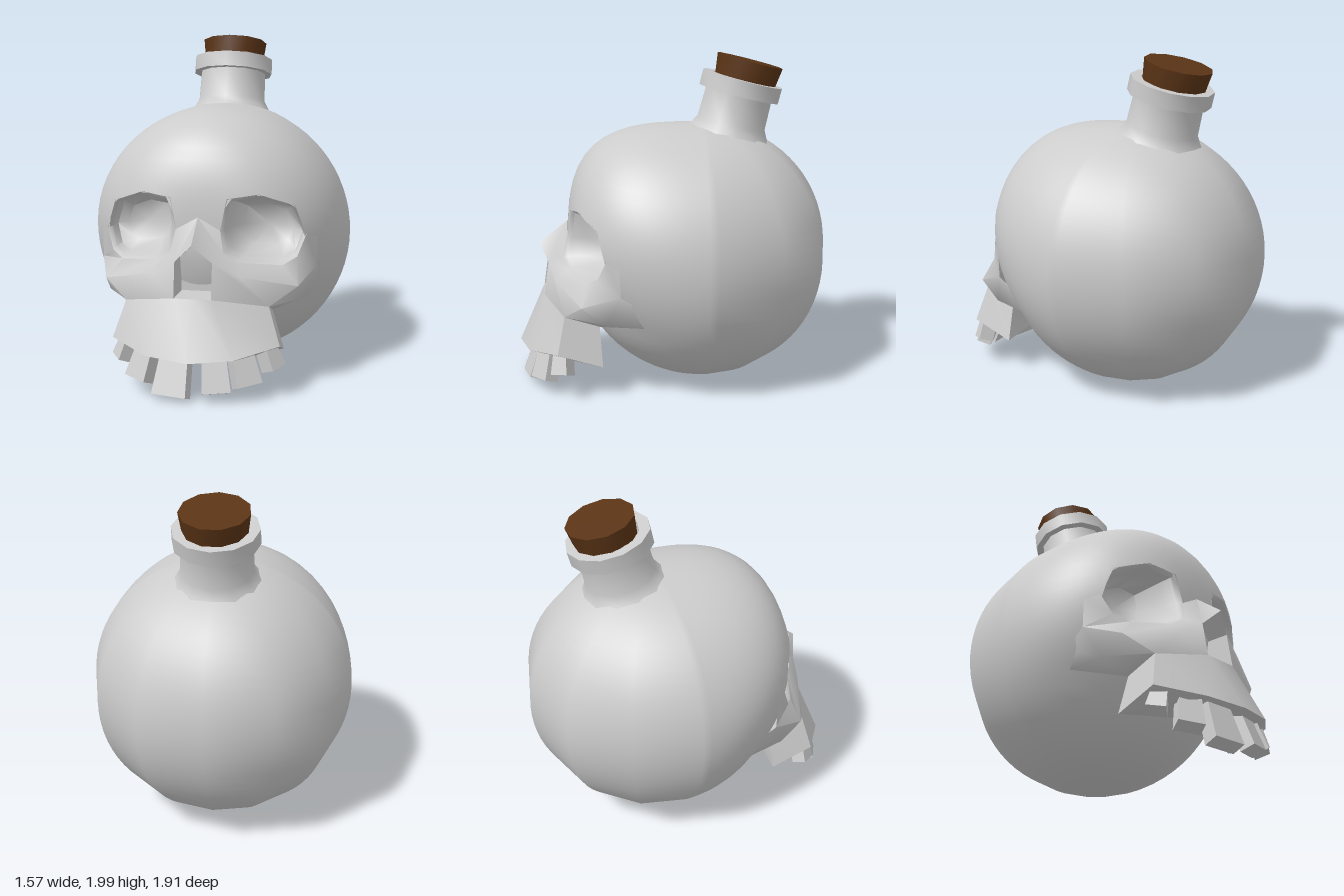
import * as THREE from 'three';
import { mergeVertices, mergeGeometries, toCreasedNormals } from 'three/addons/utils/BufferGeometryUtils.js';

const bone = new THREE.MeshStandardMaterial({ color: 0xcccccc, side: THREE.DoubleSide });
const corkMaterial = new THREE.MeshStandardMaterial({ color: 0x5a3416 });
const clamp = THREE.MathUtils.clamp;
const R = 0.785, CY = 0.795, CZ = -0.17;

function part(name, geometry, material = bone) {
  const mesh = new THREE.Mesh(geometry, material);
  mesh.name = name;
  return mesh;
}

// Front of the cranium: round below, squarer towards the forehead
function power(x, y) {
  const s = y / (Math.hypot(x, y) || 1);
  return 2 + 0.3 * clamp((s + 0.5) / 0.5, 0, 1) + clamp(s, 0, 1);
}
function frontZ(x, worldY) {
  const y = worldY - CY, p = power(x, y);
  const stretch = 1 + 0.04 * clamp((y / R + 0.4) / 0.4, 0, 1);
  return CZ + R * stretch * Math.pow(Math.max(0, 1 - Math.pow(Math.hypot(x, y) / R, p)), 1 / p);
}
const onCranium = (x, y, lift = 0) => [x, y, frontZ(x, y) + lift];

// Eye rim, clockwise from the inner brow
const eye = [0.36, 0.915, 0.33];
const rim = [
  onCranium(0.16, 1.095, 0.004), onCranium(0.335, 1.12, 0.004), onCranium(0.525, 1.05, 0.004), onCranium(0.585, 0.88, 0.004),
  [0.54, 0.76, 0.5], [0.465, 0.72, 0.56], [0.23, 0.745, 0.66], [0.15, 0.8, 0.68], onCranium(0.127, 0.92, 0.006)];

// How far (dx, dy) from the eye centre must be scaled to land on the rim
function rimScale(dx, dy) {
  for (let i = 0; i < rim.length; i++) {
    const a = rim[i], b = rim[(i + 1) % rim.length];
    const ax = a[0] - eye[0], ay = a[1] - eye[1], ex = b[0] - a[0], ey = b[1] - a[1];
    const d = dx * ey - dy * ex, t = (ax * ey - ay * ex) / d, u = (ax * dy - ay * dx) / d;
    if (t > 0 && u >= 0 && u <= 1) return t;
  }
  return 1;
}

// Round flask body with its front faces trimmed to the eye rims
function craniumGeometry() {
  const halves = [new THREE.SphereGeometry(1, 48, 36, 0, Math.PI), new THREE.SphereGeometry(1, 6, 36, Math.PI, Math.PI)];
  let geometry = mergeGeometries(halves);
  geometry.deleteAttribute('normal');
  geometry.deleteAttribute('uv');
  geometry = mergeVertices(geometry, 1e-4);
  const pos = geometry.attributes.position, inEye = [];
  for (let i = 0; i < pos.count; i++) {
    let x = pos.getX(i) * R, y = pos.getY(i) * R, z = pos.getZ(i) * R + CZ;
    if (z > CZ + 1e-4) {
      const p = power(x, y), rho = Math.hypot(x, y);
      const scale = R / Math.pow(Math.pow(rho, p) + Math.pow(z - CZ, p), 1 / p);
      x *= scale;
      y *= scale;
      const dx = Math.abs(x) - eye[0], dy = y + CY - eye[1], t = rimScale(dx, dy);
      inEye[i] = t > 1;
      if (inEye[i]) {
        x = Math.sign(x) * (eye[0] + dx * t);
        y = eye[1] + dy * t - CY;
      }
      z = frontZ(x, y + CY);
    }
    pos.setXYZ(i, x, y + CY, z);
  }
  const kept = [], index = geometry.index.array;
  for (let i = 0; i < index.length; i += 3) {
    const face = [index[i], index[i + 1], index[i + 2]];
    if (!face.every(v => inEye[v])) kept.push(...face);
  }
  geometry.setIndex(kept);
  geometry.computeVertexNormals();
  return geometry;
}

// Polygons given for the +x half, mirrored to -x, with creased normals
function mirroredPatch(polygons, crease = 0.6) {
  const positions = [];
  for (const side of [1, -1]) {
    for (const polygon of polygons) {
      const loop = side > 0 ? polygon : [...polygon].reverse();
      for (let i = 1; i < loop.length - 1; i++) {
        for (const p of [loop[0], loop[i], loop[i + 1]]) positions.push(p[0] * side, p[1], p[2]);
      }
    }
  }
  const geometry = new THREE.BufferGeometry();
  geometry.setAttribute('position', new THREE.Float32BufferAttribute(positions, 3));
  return toCreasedNormals(geometry, crease);
}

function addFace(group) {
  // Nose, cheek and upper jaw landmarks
  const side = onCranium(0.64, 0.86), temple = [0.64, 0.69, 0.37], cheek = [0.557, 0.61, 0.59];
  const underEye = [0.25, 0.68, 0.73], nostril = [0.106, 0.76, 0.77], bridge = onCranium(0, 0.99, 0.006);
  const tip = [0, 0.86, 0.82], noseBase = [0, 0.56, 0.8], noseCorner = [0.106, 0.56, 0.8];
  const jawTop = [0.41, 0.51, 0.685], cheekEnd = [0.575, 0.51, 0.45];
  const archEnd = [0.605, 0.49, 0.23], cheekBack = [0.63, 0.6, 0.23];
  const lipMid = [0, 0.24, 0.955], lipSide = [0.245, 0.255, 0.9], lipCorner = [0.478, 0.3, 0.73];
  const jawBack = [0.465, 0.21, 0.467], jawBackTop = [0.4, 0.44, 0.48];
  const backMid = [0, 0.31, 0.47], backTop = [0, 0.44, 0.42];

  group.add(part('cheeksAndNose', mirroredPatch([
    [rim[3], rim[4], temple, side],
    [rim[4], rim[5], cheek, temple],
    [rim[5], rim[6], underEye, cheek],
    [rim[6], rim[7], nostril, underEye],
    [rim[7], rim[8], bridge, nostril],
    [tip, nostril, bridge],
    [nostril, noseCorner, jawTop, underEye],
    [underEye, jawTop, cheek],
    [cheek, jawTop, cheekEnd],
    [cheek, cheekEnd, temple],
    [temple, cheekEnd, archEnd, cheekBack],
    [jawTop, jawBackTop, cheekEnd],
    [cheekEnd, jawBackTop, archEnd],
  ], 0.95)));

  group.add(part('upperJaw', mirroredPatch([
    [noseBase, lipMid, lipSide, noseCorner],
    [noseCorner, lipSide, lipCorner, jawTop],
    [jawTop, lipCorner, jawBack, jawBackTop],
    [lipMid, backMid, jawBack, lipSide],
    [lipSide, jawBack, lipCorner],
    [backMid, backTop, jawBackTop, jawBack],
  ])));

  // Nose hole walls and back
  const deep = p => [p[0], p[1], 0.6];
  group.add(part('noseHole', mirroredPatch([
    [nostril, deep(nostril), deep(noseCorner), noseCorner],
    [noseBase, noseCorner, deep(noseCorner), deep(noseBase)],
    [tip, deep(tip), deep(nostril), nostril],
    [deep(tip), deep(noseBase), deep(noseCorner), deep(nostril)],
  ])));

  // Eye sockets: bevelled rim, wall and rounded floor
  const shrink = (s, z) => rim.map(p => [eye[0] + (p[0] - eye[0]) * s, eye[1] + (p[1] - eye[1]) * s, z(p[2])]);
  const rings = [rim, shrink(0.91, z => z - 0.025), shrink(0.87, z => z - 0.11), shrink(0.6, z => 0.33 + (z - 0.47) * 0.3)];
  const socket = [];
  rim.forEach((_, i) => {
    const j = (i + 1) % rim.length;
    for (let k = 0; k < 3; k++) socket.push([rings[k + 1][i], rings[k + 1][j], rings[k][j], rings[k][i]]);
    socket.push([eye, rings[3][j], rings[3][i]]);
  });
  group.add(part('eyeSockets', mirroredPatch(socket, 0.9)));
}

// Uneven teeth along the jaw: x, y, z, width, height, yaw
function addTeeth(group) {
  const teeth = [
    [-0.095, 0.14, 0.845, 0.2, 0.24, -0.12], [0.135, 0.165, 0.84, 0.16, 0.23, 0.22],
    [-0.275, 0.185, 0.79, 0.15, 0.2, -0.5], [0.285, 0.185, 0.79, 0.15, 0.2, 0.55],
    [-0.41, 0.225, 0.7, 0.11, 0.11, -0.9], [0.42, 0.22, 0.7, 0.11, 0.12, 0.95]];
  const row = new THREE.Group();
  row.name = 'teeth';
  for (const [x, y, z, w, h, yaw] of teeth) {
    const geometry = new THREE.BoxGeometry(w, h, 0.09);
    const p = geometry.attributes.position;
    for (let i = 0; i < p.count; i++) if (p.getY(i) > 0) p.setX(i, p.getX(i) * 0.8);
    geometry.computeVertexNormals();
    const tooth = part('tooth', geometry);
    tooth.position.set(x, y, z);
    tooth.rotation.set(-0.35, yaw, x * 0.4, 'YXZ');
    row.add(tooth);
  }
  group.add(row);
}

// Leaning bottle neck with collar and cork
function addNeck(group) {
  const neck = new THREE.Group();
  neck.name = 'bottleNeck';
  const profile = [[0.28, -0.28], [0.24, -0.23], [0.213, -0.18], [0.207, 0],
    [0.25, 0], [0.25, 0.093], [0.185, 0.093], [0.175, 0.02]].map(p => new THREE.Vector2(...p));
  const lathe = new THREE.LatheGeometry(profile, 12);
  neck.add(part('neckAndCollar', toCreasedNormals(lathe, 0.7)));
  const cork = part('cork', toCreasedNormals(new THREE.CylinderGeometry(0.203, 0.175, 0.21, 11), 0.7), corkMaterial);
  cork.position.set(0, 0.103, -0.013);
  neck.add(cork);
  neck.position.set(0, 1.75, -0.402);
  neck.rotation.x = -0.25;
  group.add(neck);
}

export function createModel() {
  const group = new THREE.Group();
  group.name = 'skullBottle';
  group.add(part('cranium', craniumGeometry()));
  addFace(group);
  addTeeth(group);
  addNeck(group);
  return group;
}
